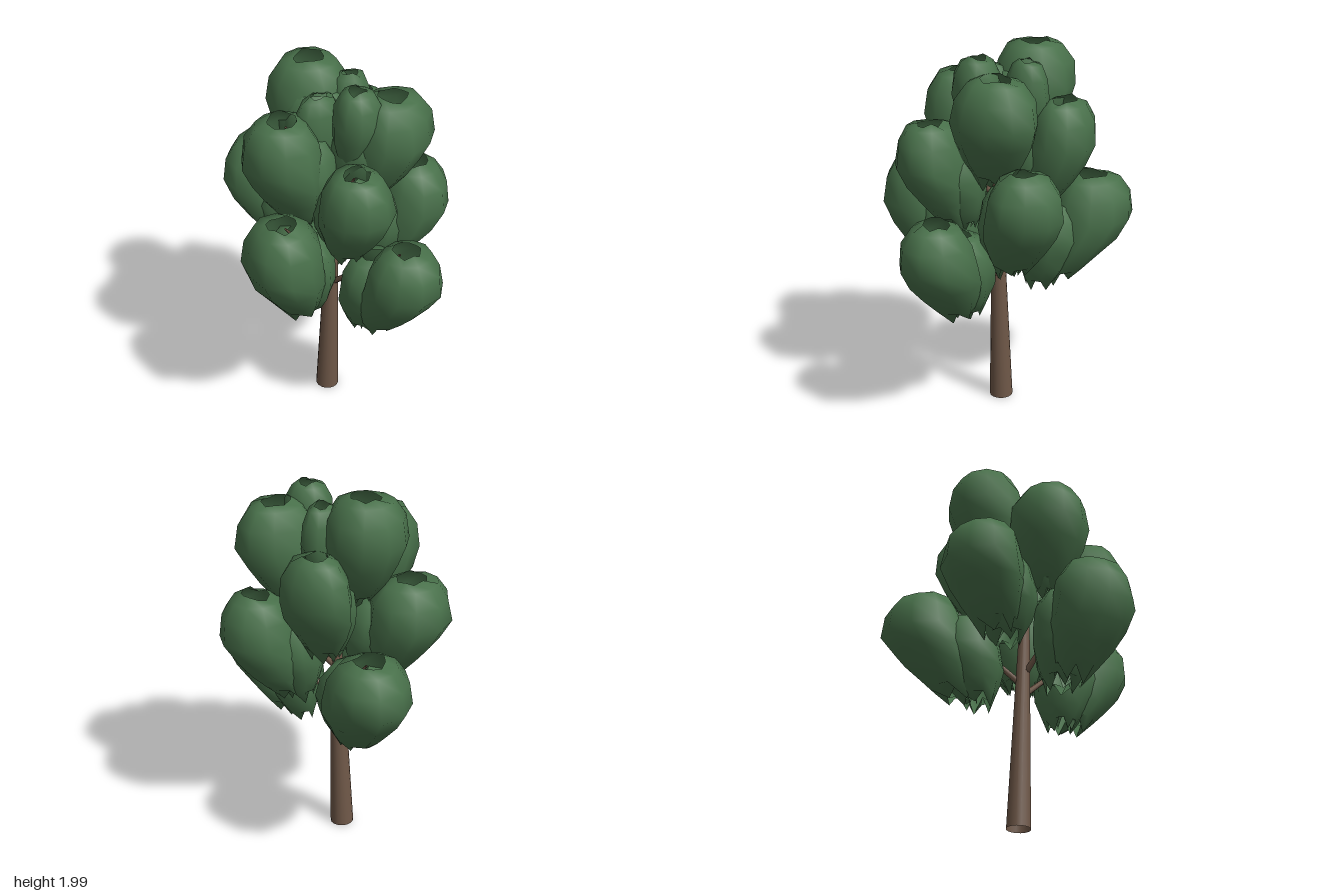
import * as THREE from 'three';

// Seeded pseudo-random numbers for the leafy irregularity
function seeded(seed) {
  let s = seed * 7919 + 17;
  return () => { s = (s * 16807) % 2147483647; return s / 2147483647; };
}

// Shell profile: fraction of height below the top, fraction of full radius
const PROFILE = [[0, 0.36], [0.06, 0.66], [0.2, 0.93], [0.4, 1.03], [0.58, 0.95], [0.74, 0.76], [0.88, 0.54], [1, 0.36]];
const SIDES = 10;

// Open leaf shell: wide above, leaning in to the trunk below, ragged lower hem
function shellGeometry(x, z, rx, rz, bottom, top, lean, seed) {
  const rand = seeded(seed);
  rand(); rand();
  const phase = rand() * 6;
  const pos = [], index = [];
  const last = PROFILE.length - 1;
  PROFILE.forEach(([drop, radius], j) => {
    const slide = Math.max(0, drop - 0.38) * lean;
    for (let i = 0; i < SIDES; i++) {
      const a = ((i + phase) / SIDES) * Math.PI * 2;
      const wobble = 1 + 0.04 * Math.sin(3 * a + phase) + (rand() - 0.5) * 0.07;
      let y = top - drop * (top - bottom);
      if (j === 0) y -= rand() * 0.03;
      if (j === last) y += i % 2 ? 0.07 + rand() * 0.03 : rand() * 0.04 - 0.02;
      pos.push(
        x * (1 - slide) + Math.cos(a) * rx * radius * wobble,
        y,
        z * (1 - slide) + Math.sin(a) * rz * radius * wobble
      );
      if (j < last) {
        const n = (i + 1) % SIDES;
        const p = j * SIDES + i, q = j * SIDES + n;
        index.push(p, q, p + SIDES, q, q + SIDES, p + SIDES);
      }
    }
  });
  const g = new THREE.BufferGeometry();
  g.setAttribute('position', new THREE.Float32BufferAttribute(pos, 3));
  g.setIndex(index);
  g.computeVertexNormals();
  return g;
}

// Leaf clusters: x, z, radius x, radius z, bottom y, top y
const CLUSTERS = [
  [-0.47, -0.28, 0.22, 0.22, 0.64, 1.27],
  [0.19, -0.41, 0.2, 0.19, 0.82, 1.46],
  [-0.17, -0.34, 0.19, 0.16, 1.1, 1.75],
  [-0.24, -0.06, 0.21, 0.21, 1.36, 2.0],
  [0.21, -0.23, 0.2, 0.22, 1.28, 1.91],
  [-0.38, 0.13, 0.2, 0.23, 0.93, 1.55],
  [-0.04, 0.26, 0.21, 0.2, 1.18, 1.83],
  [0.13, 0.4, 0.22, 0.2, 0.69, 1.37],
  [0.34, 0.1, 0.19, 0.18, 1.03, 1.65],
  [0.5, -0.1, 0.19, 0.2, 0.58, 1.2],
];
// Small crown tufts without a second shell
const TUFTS = [
  [0.16, -0.05, 0.125, 0.125, 1.5, 1.97],
  [-0.02, 0.05, 0.09, 0.13, 1.42, 1.9],
  [-0.06, -0.18, 0.1, 0.12, 1.42, 1.94],
];

export function createModel() {
  const model = new THREE.Group();
  const leaf = new THREE.MeshStandardMaterial({ color: 0x48704a, side: THREE.DoubleSide });
  leaf.name = 'leafGreen';
  const bark = new THREE.MeshStandardMaterial({ color: 0x6f5848, side: THREE.DoubleSide });
  bark.name = 'barkBrown';
  const add = (name, geometry, material, parent = model) => {
    const mesh = new THREE.Mesh(geometry, material);
    mesh.name = name;
    parent.add(mesh);
    return mesh;
  };

  // Tapered open limb between two points
  const limb = (name, from, to, r0, r1, sides) => {
    const dir = to.clone().sub(from);
    const mesh = add(name, new THREE.CylinderGeometry(r1, r0, dir.length(), sides, 1, true), bark);
    mesh.position.copy(from).addScaledVector(dir, 0.5);
    mesh.quaternion.setFromUnitVectors(new THREE.Vector3(0, 1, 0), dir.normalize());
  };

  // Trunk leaning slightly, narrowing into the crown
  const base = new THREE.Vector3(-0.045, 0.002, -0.021);
  const tip = new THREE.Vector3(0.01, 1.6, -0.03);
  limb('trunk', base, tip, 0.063, 0.014, 16);

  // One branch and two nested shells per cluster, the inner one hugging the trunk
  CLUSTERS.forEach(([x, z, rx, rz, bottom, top], k) => {
    const start = base.clone().lerp(tip, Math.min(0.9, (bottom + 0.14) / 1.6));
    limb('branch', start, new THREE.Vector3(x * 0.92, top - 0.06, z * 0.92), 0.017, 0.006, 7);
    const cluster = new THREE.Group();
    cluster.name = 'leafCluster';
    model.add(cluster);
    add('outerLeaves', shellGeometry(x, z, rx, rz, bottom + 0.03, top, 0.6, k + 1), leaf, cluster);
    add('innerLeaves', shellGeometry(x * 0.6, z * 0.6, rx * 0.86, rz * 0.86, bottom, top - 0.12, 0.35, k + 31), leaf, cluster);
  });

  TUFTS.forEach(([x, z, rx, rz, bottom, top], k) =>
    add('leafTuft', shellGeometry(x, z, rx, rz, bottom, top, 0.3, k + 61), leaf));

  return model;
}
